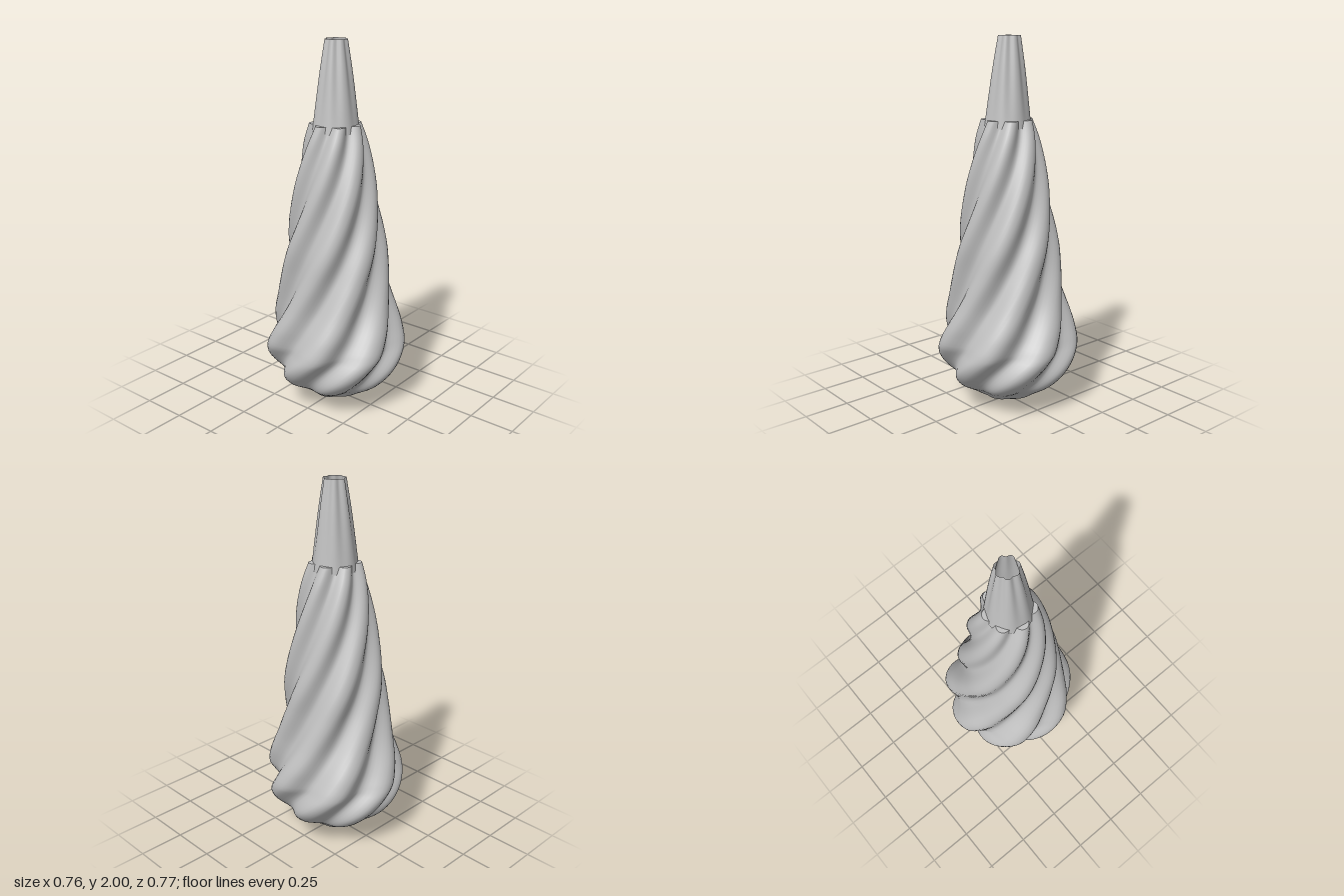
import * as THREE from 'three';

const LOBES = 7;
const DEG = Math.PI / 180;

// Angle of a valley between lobes: the folds wind around the body with height
const bodyValley = y => (35 - 110 * y + 60 * Math.max(0, 0.35 - y)) * DEG;
const neckValley = () => 48 * DEG;

// Skin a stack of lobed rings; each ring is { r, y, depth, cx, cz }
function lobedSkin(rings, valley, segments = 98) {
  const pos = [], index = [];
  for (const { r, y, depth, cx = 0, cz = 0 } of rings) {
    const start = valley(y);
    for (let j = 0; j < segments; j++) {
      const a = (j / segments) * Math.PI * 2;
      // rounded ridges, narrower valleys
      const fold = Math.pow(0.5 + 0.5 * Math.cos(LOBES * a), 1.3);
      const rad = r * (1 - depth * fold);
      pos.push(cx + rad * Math.cos(a + start), y, cz + rad * Math.sin(a + start));
    }
  }
  for (let i = 0; i < rings.length - 1; i++) {
    for (let j = 0; j < segments; j++) {
      const k = (j + 1) % segments;
      const a = i * segments + j, b = a + segments;
      const c = i * segments + k, d = c + segments;
      index.push(a, b, c, c, b, d);
    }
  }
  const geo = new THREE.BufferGeometry();
  geo.setAttribute('position', new THREE.Float32BufferAttribute(pos, 3));
  geo.setIndex(index);
  geo.computeVertexNormals();
  return geo;
}

// Smooth a [radius, height] profile into evenly spaced points
function profile(points, count) {
  const curve = new THREE.CatmullRomCurve3(points.map(([r, y]) => new THREE.Vector3(r, y, 0)));
  return curve.getSpacedPoints(count).map(p => ({ r: p.x, y: p.y }));
}

export function createModel() {
  const model = new THREE.Group();
  model.name = 'twistedBud';
  const grey = new THREE.MeshStandardMaterial({ color: 0xc0c0c0, side: THREE.DoubleSide });
  grey.name = 'grey';

  const add = (name, geometry) => {
    const mesh = new THREE.Mesh(geometry, grey);
    mesh.name = name;
    model.add(mesh);
  };

  // Shallow dome underneath, with a small hole in the middle
  const dome = [[0.036, 0], [0.1, 0.02], [0.17, 0.052], [0.225, 0.09]];
  add('base', lobedSkin(dome.map(([r, y], i) => ({ r, y, depth: 0.035 * i })), bodyValley));

  // Bulbous body with spiralling folds
  const body = profile([
    [0.225, 0.09], [0.305, 0.145], [0.365, 0.23], [0.39, 0.34], [0.372, 0.44],
    [0.325, 0.6], [0.298, 0.75], [0.28, 0.9], [0.245, 1.1], [0.21, 1.3],
    [0.172, 1.47], [0.14, 1.57],
  ], 72).map(p => ({
    ...p,
    depth: 0.105 + 0.075 * THREE.MathUtils.smoothstep(p.y, 0.09, 0.35)
      + 0.04 * THREE.MathUtils.smoothstep(p.y, 1.3, 1.57),
  }));
  add('foldedBody', lobedSkin(body, bodyValley));

  // Narrow ledge closing the ends of the folds against the neck
  add('shoulder', lobedSkin([
    { r: 0.14, y: 1.57, depth: 0.22 },
    { r: 0.105, y: 1.57, depth: 0 },
  ], bodyValley));

  // Tapering open neck, slightly fluted and off centre at the tip
  const neck = profile([
    [0.125, 1.53], [0.12, 1.57], [0.104, 1.7], [0.084, 1.85], [0.06, 2],
  ], 16).map(p => {
    const t = (p.y - 1.53) / 0.47;
    return { ...p, depth: 0.03 + 0.13 * t, cx: -0.005 * t, cz: -0.008 * t };
  });
  add('neck', lobedSkin(neck, neckValley));

  return model;
}
